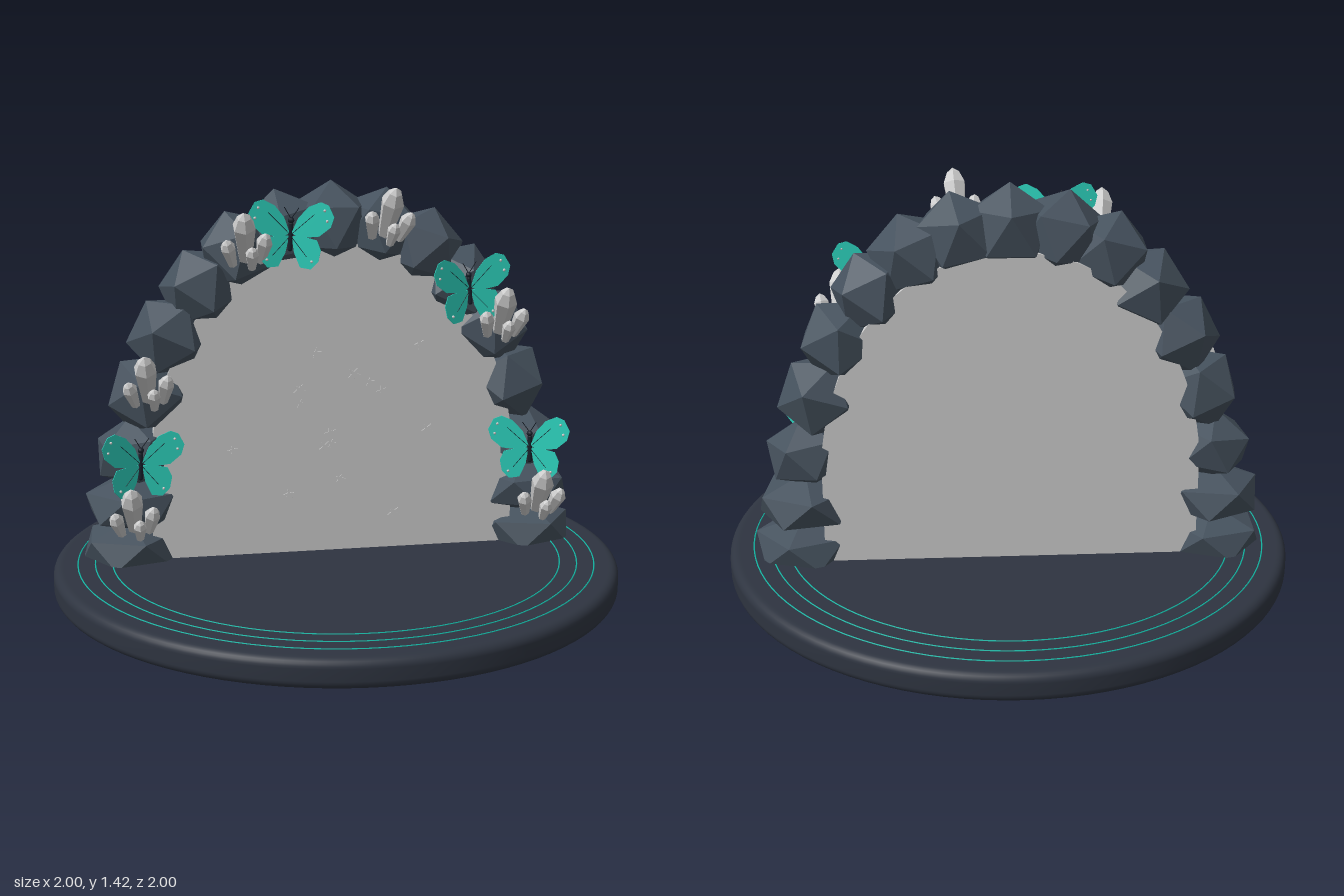
import * as THREE from 'three';

const mat = (color, extra = {}) => new THREE.MeshStandardMaterial({ color, ...extra });
const flat = { flatShading: true };
const thin = { side: THREE.DoubleSide };
const M = {
  base: mat(0x2e3440),
  ring: mat(0x14b8a6),
  rock: mat(0x46525e, flat),
  grey: mat(0xcccccc),
  crystal: mat(0xffffff, flat),
  wing: mat(0x2dd4bf, thin),
  body: mat(0x18202b),
};
const Z = -0.11; // depth of the arch's centre plane

function add(parent, name, geometry, material, x = 0, y = 0, z = 0) {
  const m = new THREE.Mesh(geometry, material);
  m.name = name;
  m.position.set(x, y, z);
  parent.add(m);
  return m;
}

const shapeOf = pts => new THREE.Shape(pts.map(([x, y]) => new THREE.Vector2(x, y)));

// Thin rod between two points
function rod(parent, name, a, b, r, material) {
  const curve = new THREE.LineCurve3(new THREE.Vector3(...a), new THREE.Vector3(...b));
  return add(parent, name, new THREE.TubeGeometry(curve, 1, r, 5), material);
}

// Round base with softened rim and inlaid rings
function base(root) {
  const pts = [[0, 0], [0.965, 0]];
  for (const [cy, start] of [[0.03, -Math.PI / 2], [0.07, 0]]) {
    for (let i = 0; i <= 6; i++) {
      const a = start + i * Math.PI / 12;
      pts.push([0.97 + 0.03 * Math.cos(a), cy + 0.03 * Math.sin(a)]);
    }
  }
  pts.push([0.965, 0.1], [0, 0.1]);
  add(root, 'base', new THREE.LatheGeometry(pts.map(p => new THREE.Vector2(...p)), 96), M.base);
  for (const r of [0.795, 0.855, 0.915]) {
    const g = new THREE.TorusGeometry(r, 0.0025, 6, 96).rotateX(Math.PI / 2);
    add(root, 'baseRing', g, M.ring, 0, 0.1, 0);
  }
}

// Faceted stones, each with one corner pointing up
function arch(root) {
  const group = new THREE.Group();
  group.name = 'stoneArch';
  root.add(group);
  const geo = new THREE.IcosahedronGeometry(1, 0).rotateZ(-Math.atan(2 / (1 + Math.sqrt(5))));
  const stone = (x, y, r, sy, tilt, yaw) => {
    const m = add(group, 'stone', geo, M.rock, x, y, Z);
    m.scale.set(r, r * sy, r);
    m.rotation.set(0, yaw, tilt, 'ZYX');
  };
  stone(0, 1.265, 0.155, 1, 0, 0.3);
  const side = [[0.17, 1.245], [0.325, 1.175], [0.455, 1.05], [0.57, 0.885], [0.65, 0.685], [0.7, 0.475]];
  for (const s of [-1, 1]) {
    side.forEach(([x, y], i) => stone(s * x, y, 0.155, i < 5 ? 0.97 : 0.82,
      -s * (0.2 + 0.12 * i) * (i < 5 ? 1 : 0.2), s * (0.4 + i * 0.9)));
    stone(s * 0.715, 0.29, 0.185, 0.56, 0, s * 0.5);
    stone(s * 0.725, 0.13, 0.19, 0.54, 0, s * 1.3);
  }
}

// Thick arched slab filling the opening, with small stars on its front
function portal(root) {
  const shape = new THREE.Shape();
  shape.moveTo(-0.65, 0.1);
  shape.lineTo(0.65, 0.1);
  shape.lineTo(0.65, 0.48);
  shape.bezierCurveTo(0.62, 0.85, 0.4, 1.21, 0, 1.21);
  shape.bezierCurveTo(-0.4, 1.21, -0.62, 0.85, -0.65, 0.48);
  const slab = new THREE.ExtrudeGeometry(shape, { depth: 0.19, bevelEnabled: false, curveSegments: 20 });
  add(root, 'portalPanel', slab, M.grey, 0, 0, -0.215);

  const star = [];
  for (let i = 0; i < 10; i++) {
    const a = Math.PI / 2 + i * Math.PI / 5, r = i % 2 ? 0.009 : 0.022;
    star.push([r * Math.cos(a), r * Math.sin(a)]);
  }
  const geo = new THREE.ExtrudeGeometry(shapeOf(star), { depth: 0.004, bevelEnabled: false });
  [[-0.07, 0.83], [0.3, 0.85], [0.065, 0.75], [0.12, 0.72], [0.165, 0.685], [-0.13, 0.7], [-0.125, 0.65],
    [-0.02, 0.54], [-0.04, 0.49], [-0.015, 0.5], [-0.365, 0.49], [0.33, 0.54], [0.015, 0.37],
    [-0.17, 0.32], [0.21, 0.235]].forEach(([x, y], i) => {
    const m = add(root, 'star', geo, M.grey, x, y, 0);
    m.scale.setScalar(0.85 + 0.1 * (i % 3));
    m.rotation.z = i * 0.4;
  });
}

// Cluster of pointed six-sided crystals leaning forward
function crystals(root, x, y, roll) {
  const group = new THREE.Group();
  group.name = 'crystalCluster';
  group.position.set(x, y, 0.015);
  group.rotation.set(0.6, 0, roll, 'ZXY');
  root.add(group);
  const profile = [[0, 0], [0.024, 0], [0.041, 0.145], [0.024, 0.185], [0, 0.205]];
  const geo = new THREE.LatheGeometry(profile.map(p => new THREE.Vector2(...p)), 6);
  for (const [dx, dy, dz, k, tilt] of [[0, 0.01, 0, 1, 0], [-0.045, 0.005, 0.015, 0.55, 0.18],
    [0.048, 0.005, 0.015, 0.6, -0.2], [0.015, 0, 0.04, 0.45, -0.05]]) {
    const m = add(group, 'crystal', geo, M.crystal, dx, dy, dz);
    m.scale.set(0.25 + 0.75 * k, k, 0.25 + 0.75 * k);
    m.rotation.z = tilt;
  }
}

const UPPER = [[0.004, 0.008], [0.025, 0.06], [0.06, 0.1], [0.1, 0.118], [0.128, 0.108], [0.148, 0.07],
  [0.138, 0.035], [0.1, 0.002], [0.03, -0.008]];
const LOWER = [[0.004, -0.002], [0.05, -0.004], [0.092, -0.012], [0.107, -0.045], [0.1, -0.085],
  [0.075, -0.112], [0.038, -0.108], [0.015, -0.06]];

// Butterfly with two pairs of slightly raised wings
function butterfly(root, x, y, z, yaw, roll) {
  const group = new THREE.Group();
  group.name = 'butterfly';
  group.position.set(x, y, z);
  group.rotation.set(0, yaw, roll);
  root.add(group);
  add(group, 'body', new THREE.CapsuleGeometry(0.008, 0.085, 4, 8), M.body, 0, -0.005, 0);
  add(group, 'head', new THREE.SphereGeometry(0.011, 8, 6), M.body, 0, 0.05, 0);
  for (const s of [-1, 1]) {
    const half = new THREE.Group();
    half.name = s > 0 ? 'leftWings' : 'rightWings';
    half.rotation.y = -s * 0.2;
    group.add(half);
    for (const [name, pts, dz] of [['upperWing', UPPER, 0.002], ['lowerWing', LOWER, -0.002]]) {
      const g = new THREE.ExtrudeGeometry(shapeOf(pts.map(([a, b]) => [s * a, b])), { depth: 0.003, bevelEnabled: false });
      add(half, name, g, M.wing, 0, 0, dz);
    }
    for (const [vx, vy] of [[0.08, 0.075], [0.06, -0.07]])
      rod(half, 'wingVein', [0, 0, 0.005], [s * vx, vy, 0.005], 0.001, M.body);
    for (const [px, py] of [[0.115, 0.09], [0.125, 0.055], [0.078, -0.085]])
      add(half, 'wingSpot', new THREE.SphereGeometry(0.005, 8, 6), M.crystal, s * px, py, 0.005);
    rod(group, 'antenna', [0, 0.055, 0], [s * 0.025, 0.095, 0.012], 0.0015, M.body);
  }
}

export function createModel() {
  const root = new THREE.Group();
  root.name = 'stonePortal';
  base(root);
  arch(root);
  portal(root);
  for (const c of [[-0.315, 1.16, 0.1], [0.165, 1.235, -0.1], [0.58, 0.885, 0], [-0.655, 0.685, 0.1],
    [-0.715, 0.225, 0.08], [0.735, 0.225, 0.02]]) crystals(root, ...c);
  for (const b of [[-0.69, 0.475, 0.07, 0.22, -0.03], [-0.165, 1.25, 0.05, -0.15, -0.05],
    [0.46, 1.05, 0.06, 0.18, 0.08], [0.69, 0.475, 0.07, -0.4, 0.03]]) butterfly(root, ...b);
  return root;
}
